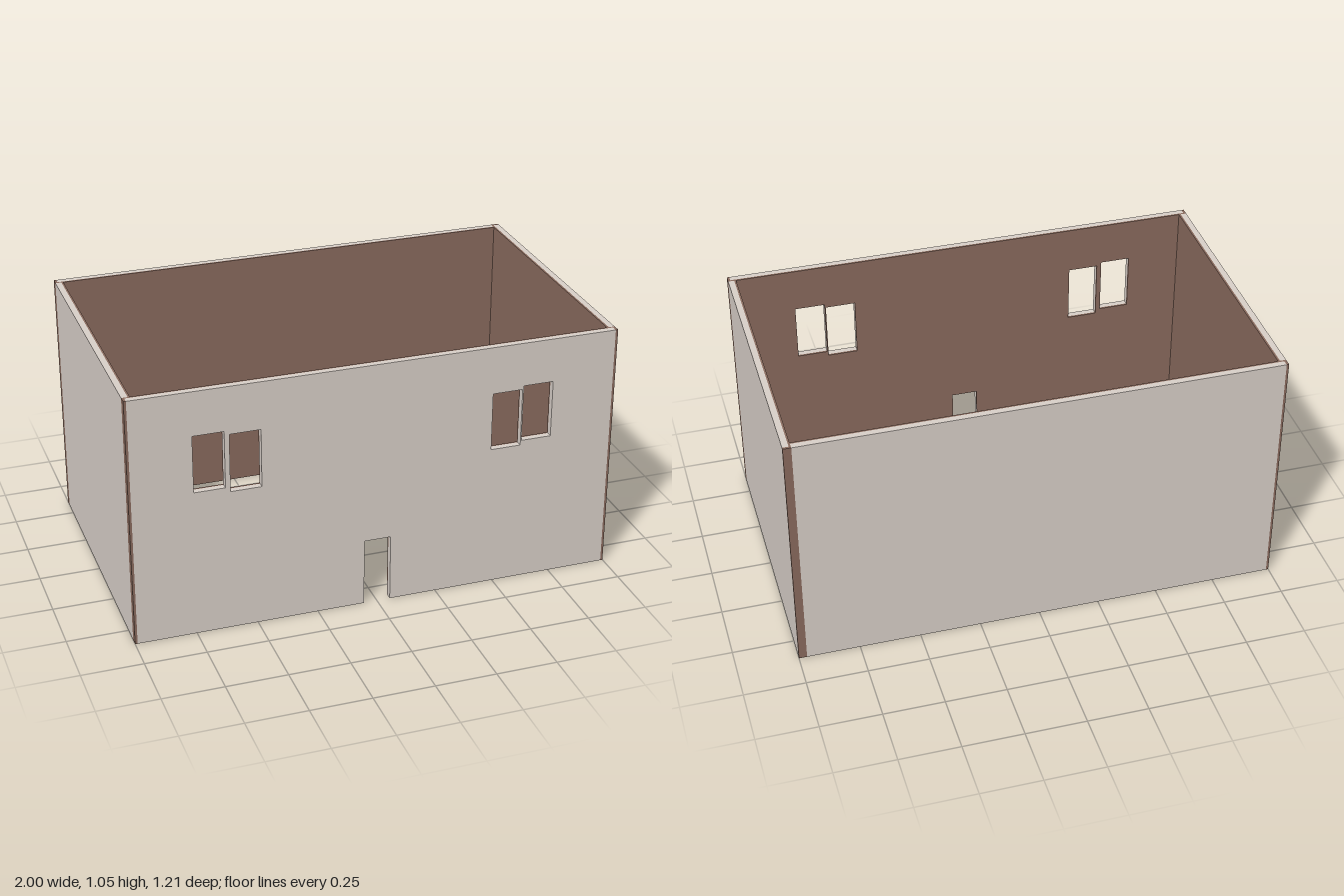
import * as THREE from 'three';

const H = 1.05;       // wall height
const T = 0.033;      // wall thickness
const LINING = 0.008; // inner layer
const TRIM = 0.01;    // edge strip at exposed wall ends

const plaster = new THREE.MeshStandardMaterial({ color: 0xd9d0c9 });
const brown = new THREE.MeshStandardMaterial({ color: 0x8a6b5e });

// Flat elevation of a wall, with an optional door notch and window holes
function elevation(x0, x1, door, windows) {
  const s = new THREE.Shape();
  s.moveTo(x0, 0);
  if (door) {
    s.lineTo(door.x0, 0);
    s.lineTo(door.x0, door.h);
    s.lineTo(door.x1, door.h);
    s.lineTo(door.x1, 0);
  }
  s.lineTo(x1, 0);
  s.lineTo(x1, H);
  s.lineTo(x0, H);
  s.closePath();
  for (const [a, b, c, d] of windows) {
    const p = new THREE.Path();
    p.moveTo(a, b);
    p.lineTo(a, d);
    p.lineTo(c, d);
    p.lineTo(c, b);
    p.closePath();
    s.holes.push(p);
  }
  return s;
}

// One wall: outer face at local z = 0, plaster outside, brown lining inside
function makeWall(name, length, { ends = [], door = null, windows = [] } = {}) {
  const wall = new THREE.Group();
  wall.name = name;
  const x0 = -length / 2 + (ends.includes(-1) ? TRIM : 0);
  const x1 = length / 2 - (ends.includes(1) ? TRIM : 0);
  const shape = elevation(x0, x1, door, windows);

  const layer = (label, depth, z, material) => {
    const geo = new THREE.ExtrudeGeometry(shape, { depth, bevelEnabled: false });
    const mesh = new THREE.Mesh(geo, material);
    mesh.name = label;
    mesh.position.z = z;
    wall.add(mesh);
  };
  layer('outerSkin', T - LINING, LINING - T, plaster);
  layer('innerLining', LINING, -T, brown);

  for (const side of ends) {
    const trim = new THREE.Mesh(new THREE.BoxGeometry(TRIM, H, T), brown);
    trim.name = 'endTrim';
    trim.position.set(side * (length - TRIM) / 2, H / 2, -T / 2);
    wall.add(trim);
  }
  return wall;
}

export function createModel() {
  const model = new THREE.Group();
  model.name = 'building';
  const X = 1, Z = 0.605;

  const place = (wall, x, z, turn) => {
    wall.position.set(x, 0, z);
    wall.rotation.y = turn;
    model.add(wall);
  };

  // Front wall with door and two pairs of staggered windows
  place(makeWall('frontWall', 2 * X, {
    ends: [-1, 1],
    door: { x0: -0.055, x1: 0.055, h: 0.285 },
    windows: [
      [-0.745, 0.625, -0.62, 0.865],
      [-0.6, 0.605, -0.475, 0.85],
      [0.475, 0.605, 0.6, 0.85],
      [0.605, 0.625, 0.73, 0.865],
    ],
  }), 0, Z, 0);

  // Plain walls, butted against each other at the corners
  place(makeWall('backWall', 2 * X - T, { ends: [1] }), -T / 2, -Z, Math.PI);
  place(makeWall('leftWall', 2 * Z - T, { ends: [1] }), X, -T / 2, Math.PI / 2);
  place(makeWall('rightWall', 2 * Z - 2 * T), -X, 0, -Math.PI / 2);

  return model;
}
